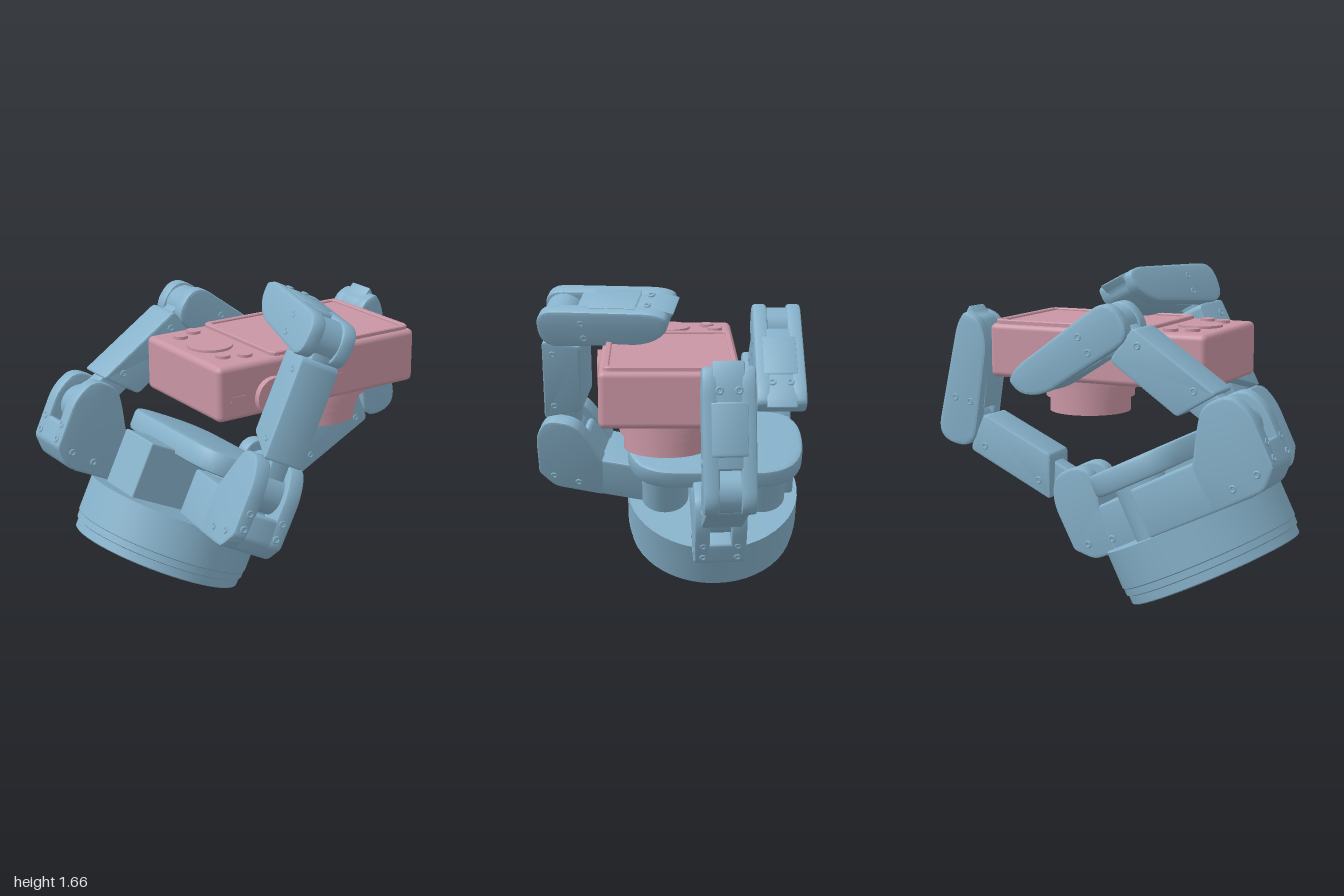
import * as THREE from 'three';
import { toCreasedNormals } from 'three/addons/utils/BufferGeometryUtils.js';
import { RoundedBoxGeometry } from 'three/addons/geometries/RoundedBoxGeometry.js';

const blue = new THREE.MeshStandardMaterial({ color: 0x86b1ca });
const pink = new THREE.MeshStandardMaterial({ color: 0xc895a4 });
const deg = THREE.MathUtils.degToRad;

function add(parent, name, geometry, material, x = 0, y = 0, z = 0) {
  const mesh = new THREE.Mesh(geometry, material);
  mesh.name = name;
  mesh.position.set(x, y, z);
  parent.add(mesh);
  return mesh;
}

function group(parent, name, x, y, z) {
  const g = new THREE.Group();
  g.name = name;
  g.position.set(x, y, z);
  parent.add(g);
  return g;
}

// Closed polygon whose corners [x, y, radius] are rounded
function roundedShape(points) {
  const shape = new THREE.Shape();
  const n = points.length;
  points.forEach((p, i) => {
    const corner = new THREE.Vector2(p[0], p[1]);
    const towards = (q) => {
      const d = new THREE.Vector2(q[0], q[1]).sub(corner);
      return d.setLength(Math.min(p[2] ?? 0.02, d.length() * 0.48)).add(corner);
    };
    const a = towards(points[(i + n - 1) % n]);
    const b = towards(points[(i + 1) % n]);
    if (i === 0) shape.moveTo(a.x, a.y);
    else shape.lineTo(a.x, a.y);
    shape.quadraticCurveTo(corner.x, corner.y, b.x, b.y);
  });
  return shape;
}

// Profile extruded along z, centred, with a small bevel
function slab(points, width, bevel = 0.012) {
  const geo = new THREE.ExtrudeGeometry(roundedShape(points), {
    depth: width - 2 * bevel, bevelEnabled: true, bevelSize: bevel, bevelThickness: bevel,
    bevelOffset: -bevel, bevelSegments: 2, curveSegments: 8,
  });
  geo.translate(0, 0, bevel - width / 2);
  return toCreasedNormals(geo, 0.6);
}

function cylinder(r, h, sides = 40) {
  return new THREE.CylinderGeometry(r, r, h, sides);
}

// Screw head with a socket, facing along x, y or z
function screw(parent, axis, x, y, z) {
  const head = add(parent, 'screw', new THREE.TorusGeometry(0.014, 0.006, 6, 16), blue, x, y, z);
  if (axis === 'x') head.rotation.y = Math.PI / 2;
  if (axis === 'y') head.rotation.x = Math.PI / 2;
}

// One finger: x points away from the palm, y along the palm axis
function buildFinger(hand, name, { x, y, z, turn, reach, flank, bend, curl }) {
  const finger = group(hand, name, x, y, z);
  finger.rotation.y = deg(turn);

  // Arm from the palm to the knuckle
  add(finger, 'knuckleArm', slab([[0, 0.28], [reach, 0.28], [reach, 0.53], [0, 0.53]], 0.262), blue);

  // Knuckle housing: solid block below, forked above for the gear
  const knuckle = group(finger, 'knuckle', reach, 0.6, 0);
  const cheek = [[-flank, -0.32], [0.05, -0.315, 0.04], [0.14, -0.23, 0.02], [0.145, 0.04, 0.07],
    [0.08, 0.16, 0.06], [-0.07, 0.16, 0.06], [-0.13, 0.09, 0.05], [-flank, -0.08]];
  const block = [[-flank, -0.32], [0.05, -0.315, 0.04], [0.14, -0.23, 0.02], [0.14, -0.1],
    [0.0, -0.12], [-0.11, 0.06], [-0.13, 0.06], [-flank, -0.09]];
  add(knuckle, 'knuckleBlock', slab(block, 0.262, 0.006), blue);
  for (const s of [-1, 1]) {
    add(knuckle, 'knuckleCheek', slab(cheek, 0.08), blue, 0, 0, s * 0.095);
    for (const [sx, sy] of [[0.05, -0.23], [-0.09, -0.25]]) screw(knuckle, 'z', sx, sy, s * 0.135);
    for (const sy of [-0.11, -0.19]) screw(knuckle, 'x', 0.141, sy, s * 0.09);
  }

  // Middle link: broad shell over a narrow spine with round hubs
  const middle = group(knuckle, 'middleLink', 0, 0, 0);
  middle.rotation.z = deg(bend);
  add(middle, 'middleShell', slab([[0.15, -0.1], [0.67, -0.1, 0.03], [0.68, 0.11, 0.03], [0.25, 0.115]], 0.21), blue);
  add(middle, 'middleSpine', slab([[0, -0.075], [0.8, -0.075], [0.8, 0.075], [0, 0.075]], 0.1), blue);
  for (const hx of [0, 0.78])
    add(middle, 'hub', cylinder(0.105, 0.11, 32), blue, hx).rotation.x = Math.PI / 2;
  for (const s of [-1, 1])
    for (const sx of [0.25, 0.6]) screw(middle, 'z', sx, -0.04, s * 0.104);

  // Fingertip: forked at the joint, rounded on its inner side, with a thin nail
  const tip = group(middle, 'fingertip', 0.78, 0, 0);
  tip.rotation.z = deg(curl);
  const side = [[-0.115, 0.115, 0.115], [-0.115, -0.115, 0.115], [0.51, -0.115, 0.06], [0.585, -0.085, 0.03],
    [0.57, 0.01, 0.06], [0.46, 0.08, 0.08]];
  const pad = [[0.1, 0.108], [0.1, -0.112], [0.51, -0.112, 0.06], [0.61, -0.085, 0.01],
    [0.575, -0.04], [0.565, 0.01, 0.06], [0.46, 0.078, 0.08]];
  add(tip, 'fingertipCore', slab(pad, 0.15, 0.006), blue);
  add(tip, 'fingertipPanel', slab([[0.16, -0.118], [0.42, -0.118], [0.42, -0.09], [0.16, -0.09]], 0.17, 0.003), blue);
  for (const s of [-1, 1]) {
    add(tip, 'fingertipCheek', slab(side, 0.075, 0.016), blue, 0, 0, s * 0.0875);
    for (const sy of [-0.045, 0.045]) screw(tip, 'z', 0.13, sy, s * 0.123);
    screw(tip, 'y', 0.47, -0.115, s * 0.045);
  }
}

function buildHand(root) {
  const hand = group(root, 'hand', -0.535, 0.205, -0.235);
  hand.rotation.z = deg(-26);

  // Wrist drum with a stepped foot
  const drum = [[0, -0.008], [0.45, -0.008], [0.455, -0.003], [0.455, 0.04], [0.465, 0.045], [0.465, 0.08],
    [0.47, 0.085], [0.47, 0.28], [0, 0.28]].map(([r, h]) => new THREE.Vector2(r, h));
  add(hand, 'wristDrum', toCreasedNormals(new THREE.LatheGeometry(drum, 48), 0.5), blue);

  // Palm body, pivot columns and rounded palm plate
  add(hand, 'palmBody', new RoundedBoxGeometry(0.52, 0.32, 0.27, 2, 0.01), blue, -0.11, 0.415, -0.01);
  for (const s of [-1, 1]) add(hand, 'pivotColumn', cylinder(0.13, 0.3), blue, 0.06, 0.41, s * 0.265);
  const outline = [[-0.22, -0.475, 0.22], [0.29, -0.475, 0.26], [0.29, 0.465, 0.26], [-0.22, 0.465, 0.22]];
  add(hand, 'palmPlate', slab(outline, 0.115, 0.02), blue, 0, 0.607, 0).rotation.x = Math.PI / 2;

  // Two spreading fingers and the fixed one
  buildFinger(hand, 'frontFinger',
    { x: -0.005, y: 0, z: 0.26, turn: -103.5, reach: 0.55, flank: 0.23, bend: 91, curl: 81 });
  buildFinger(hand, 'backFinger',
    { x: 0.045, y: 0, z: -0.31, turn: 180, reach: 0.6, flank: 0.24, bend: 120, curl: 70 });
  buildFinger(hand, 'fixedFinger',
    { x: 0, y: -0.02, z: 0, turn: 1.7, reach: 0.495, flank: 0.09, bend: 52, curl: 76 });
}

function buildCamera(root) {
  const camera = group(root, 'camera', 0, 0, 0);
  add(camera, 'cameraBody', new RoundedBoxGeometry(1.21, 0.28, 0.68, 4, 0.03), pink, 0.095, 1.24, 0.012);

  // Screen: raised frame around a lower pane
  const frame = roundedShape([[-0.18, -0.33, 0.04], [0.68, -0.33, 0.04], [0.68, 0.31, 0.04], [-0.18, 0.31, 0.04]]);
  frame.holes.push(roundedShape([[-0.145, -0.3], [0.65, -0.3], [0.65, 0.285], [-0.145, 0.285]]));
  const frameGeo = new THREE.ExtrudeGeometry(frame, {
    depth: 0.025, bevelSize: 0.005, bevelThickness: 0.005, bevelOffset: -0.005, bevelSegments: 1,
  });
  add(camera, 'screenFrame', frameGeo, pink, 0, 1.37, 0).rotation.x = -Math.PI / 2;
  add(camera, 'screenPane', new THREE.BoxGeometry(0.8, 0.01, 0.59), pink, 0.252, 1.383, 0.01);

  // Dial and buttons beside the screen
  add(camera, 'dial', cylinder(0.115, 0.025), pink, -0.34, 1.38, 0.01);
  for (const [x, z] of [[-0.385, -0.195], [-0.285, -0.235], [-0.385, 0.2], [-0.285, 0.24]])
    add(camera, 'button', cylinder(0.038, 0.03, 24), pink, x, 1.38, z);

  // Controls on the front edge
  for (const [name, x, r, h] of [['zoomRing', -0.2, 0.1, 0.07], ['shutterButton', 0.08, 0.05, 0.012]])
    add(camera, name, cylinder(r, h), pink, x, 1.19, 0.35).rotation.x = Math.PI / 2;
  add(camera, 'indicator', new THREE.BoxGeometry(0.018, 0.04, 0.01), pink, 0.22, 1.21, 0.35);
  add(camera, 'flashWindow', new THREE.BoxGeometry(0.08, 0.025, 0.01), pink, -0.4, 1.21, 0.35);

  // Stepped lens pointing down, hollow at its front
  const barrel = [[0, 0.94], [0.12, 0.93], [0.17, 0.91], [0.17, 0.905], [0.215, 0.905], [0.215, 0.985],
    [0.235, 0.985], [0.235, 1.03], [0.25, 1.03], [0.25, 1.06], [0.28, 1.06], [0.28, 1.085],
    [0.305, 1.085], [0.305, 1.11], [0, 1.11]].map(([r, h]) => new THREE.Vector2(r, h));
  add(camera, 'lens', toCreasedNormals(new THREE.LatheGeometry(barrel, 48), 0.5), pink, 0.295, 0, 0.025);
}

export function createModel() {
  const root = new THREE.Group();
  root.name = 'robotHandHoldingCamera';
  buildHand(root);
  buildCamera(root);
  return root;
}
